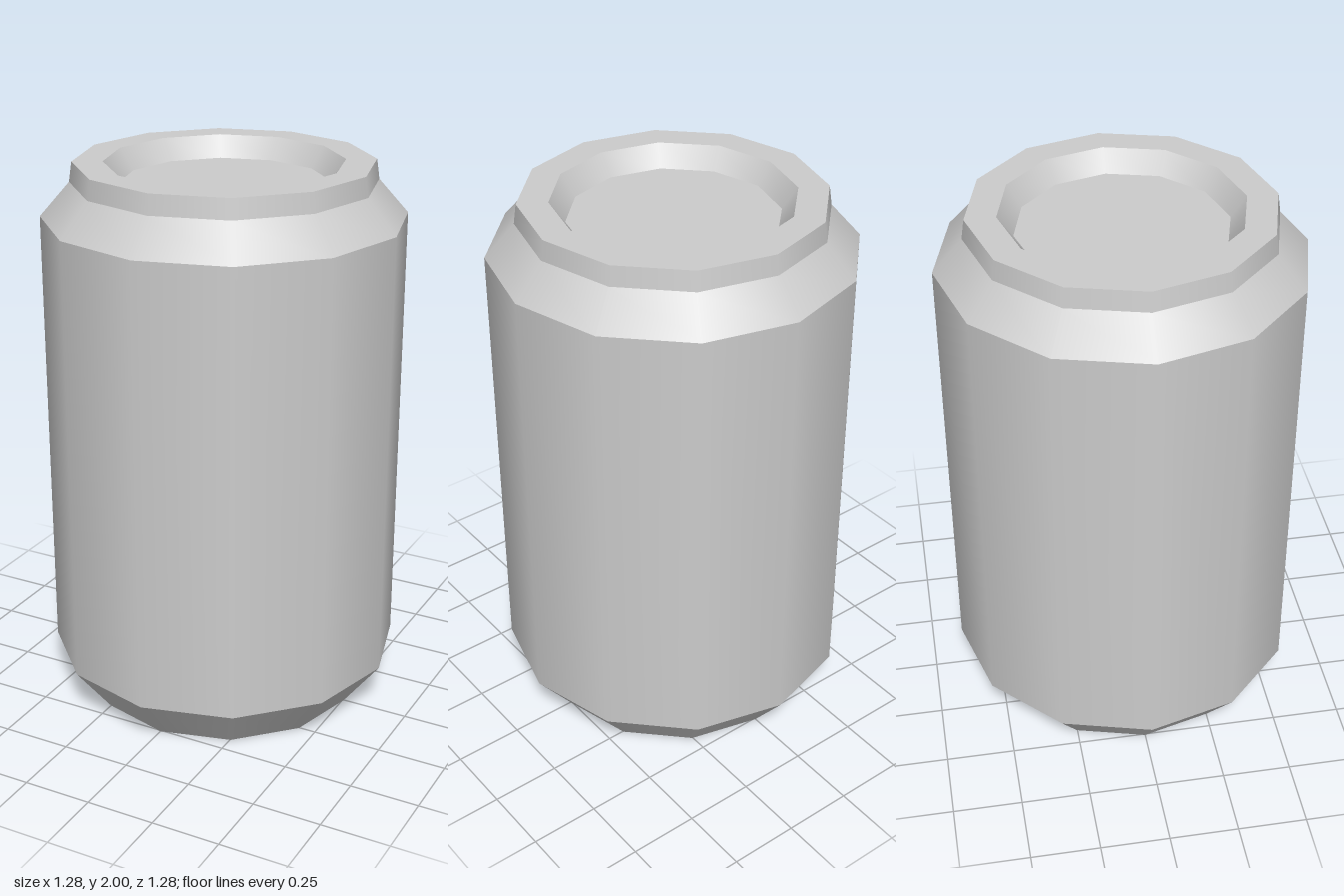
import * as THREE from 'three';

const SIDES = 12;

export function createModel() {
  const can = new THREE.Group();
  can.name = 'drinkCan';
  const material = new THREE.MeshStandardMaterial({ color: 0xcccccc });

  // Profile from the base centre, up the outside and into the lid: radius, height
  const profile = [
    [0, 0], [0.505, 0], [0.64, 0.175], [0.64, 1.81], [0.535, 1.93],
    [0.525, 2], [0.418, 2], [0.365, 1.925], [0, 1.925],
  ].map(([r, y]) => new THREE.Vector2(r, y));

  const names = [
    'base', 'lowerTaper', 'body', 'shoulder', 'rimSide', 'rimTop', 'lidWall', 'lid',
  ];

  // Each band is smooth around, with a sharp edge to the next band
  names.forEach((name, i) => {
    const band = new THREE.LatheGeometry([profile[i], profile[i + 1]], SIDES);
    const mesh = new THREE.Mesh(band, material);
    mesh.name = name;
    can.add(mesh);
  });

  return can;
}
